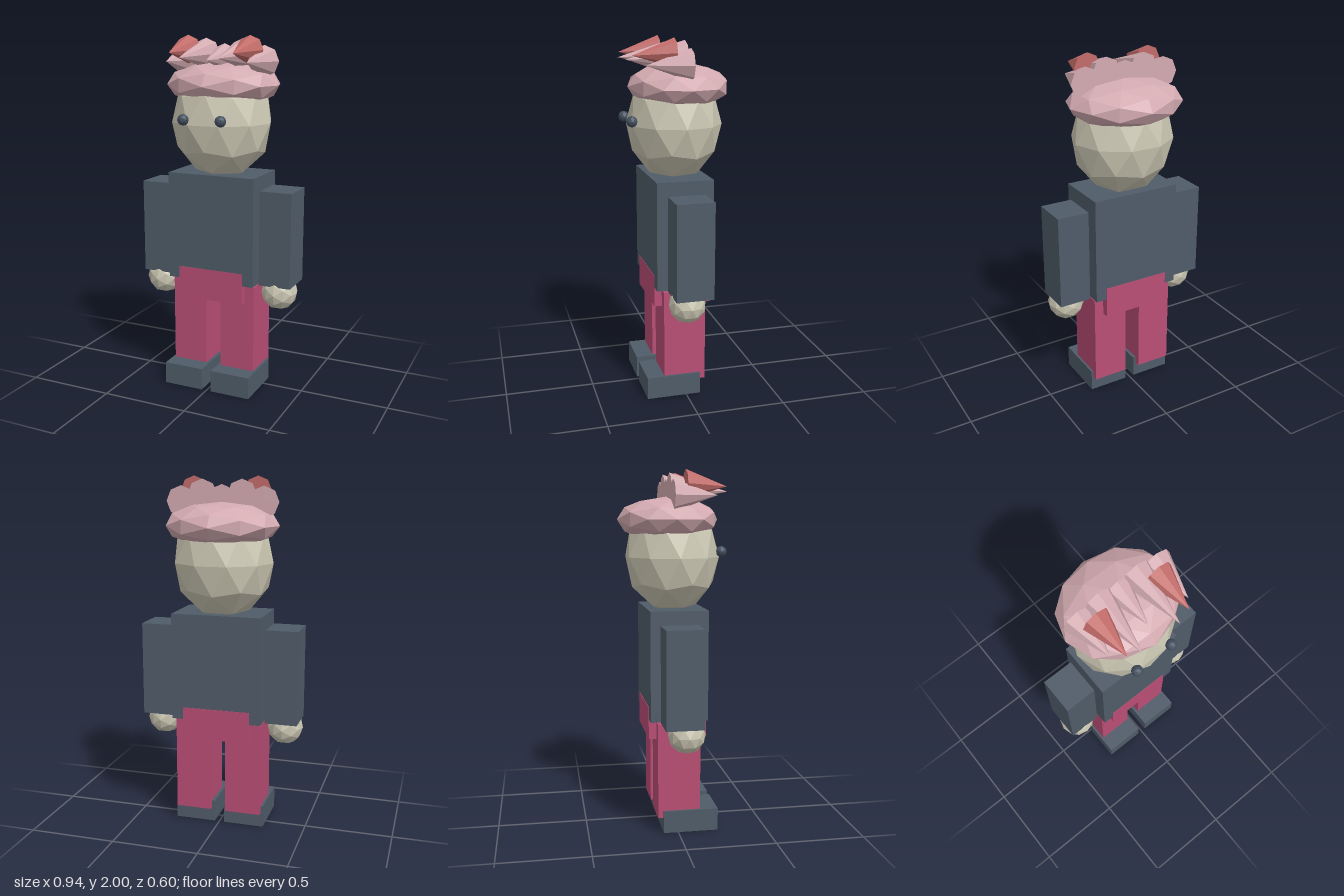
import * as THREE from 'three';

const mat = (name, color) => Object.assign(new THREE.MeshStandardMaterial({ color, flatShading: true }), { name });

export function createModel() {
  const model = new THREE.Group();
  const navy = mat('slate blue cloth', 0x505c69);
  const pink = mat('raspberry trousers', 0xb94e74);
  const skin = mat('pale skin', 0xcbc7b3);
  const hairPink = mat('dusty pink hair', 0xd3abb1);
  const red = mat('red hair', 0xc26c69);
  const dark = mat('dark eyes', 0x43505f);

  const add = (name, geometry, material, x, y, z) => {
    const mesh = new THREE.Mesh(geometry, material);
    mesh.name = name;
    mesh.position.set(x, y, z);
    model.add(mesh);
    return mesh;
  };

  // Box given by its minimum and maximum corners
  const box = (name, material, [x0, y0, z0], [x1, y1, z1]) =>
    add(name, new THREE.BoxGeometry(x1 - x0, y1 - y0, z1 - z0), material,
      (x0 + x1) / 2, (y0 + y1) / 2, (z0 + z1) / 2);

  // Faceted ball, optionally turned so that one corner points up
  const ball = (name, material, [x, y, z], [rx, ry, rz], cornerUp = false) => {
    const g = new THREE.IcosahedronGeometry(1, 1);
    if (cornerUp) g.rotateZ(Math.atan(2 / (1 + Math.sqrt(5)))).rotateY(-Math.PI / 2);
    g.scale(rx, ry, rz);
    g.computeVertexNormals();
    return add(name, g, material, x, y, z);
  };

  // Forward-pointing hair spike with a flat back
  const spike = (name, material, x, y, back, radius, length, drop = 0) => {
    const g = new THREE.ConeGeometry(radius, length, 8);
    g.translate(0, length / 2, 0).rotateX(Math.PI / 2);
    const p = g.attributes.position;
    for (let i = 0; i < p.count; i++) p.setY(i, p.getY(i) - drop * p.getZ(i) / length);
    g.computeVertexNormals();
    return add(name, g, material, x, y, back);
  };

  // Body
  box('torso', navy, [-0.258, 0.64, -0.153], [0.258, 1.25, 0.166]);
  box('hips', pink, [-0.195, 0.53, -0.156], [0.195, 0.71, 0.168]);

  // Head and hair cap
  ball('head', skin, [0, 1.53, 0.006], [0.287, 0.32, 0.265], true);
  ball('hairCap', hairPink, [0, 1.735, -0.018], [0.325, 0.126, 0.283]);
  spike('middleHairSpike', hairPink, 0, 1.88, -0.027, 0.075, 0.232, 0.01);

  // Mirrored parts
  for (const s of [-1, 1]) {
    const side = s > 0 ? 'left' : 'right';
    const pair = (name, material, [x0, y0, z0], [x1, y1, z1]) =>
      box(side + name, material,
        [Math.min(s * x0, s * x1), y0, z0], [Math.max(s * x0, s * x1), y1, z1]);
    pair('Leg', pink, [0.045, 0.085, -0.112], [0.25, 0.625, 0.126]);
    pair('Shoe', navy, [0.028, 0, -0.082], [0.263, 0.126, 0.226]);
    pair('Arm', navy, [0.272, 0.64, -0.1], [0.455, 1.175, 0.109]);
    ball(side + 'Hand', skin, [s * 0.365, 0.594, 0.026], [0.103, 0.103, 0.103]);
    ball(side + 'Eye', dark, [s * 0.11, 1.56, 0.265], [0.031, 0.031, 0.031]);
    spike(side + 'InnerHairSpike', hairPink, s * 0.113, 1.9, -0.027, 0.084, 0.322, 0.015);
    spike(side + 'OuterHairSpike', hairPink, s * 0.235, 1.862, -0.027, 0.086, 0.24);
    spike(side + 'RedHairSpike', red, s * 0.184, 1.923, 0.05, 0.077, 0.225, 0.013);
  }
  return model;
}
